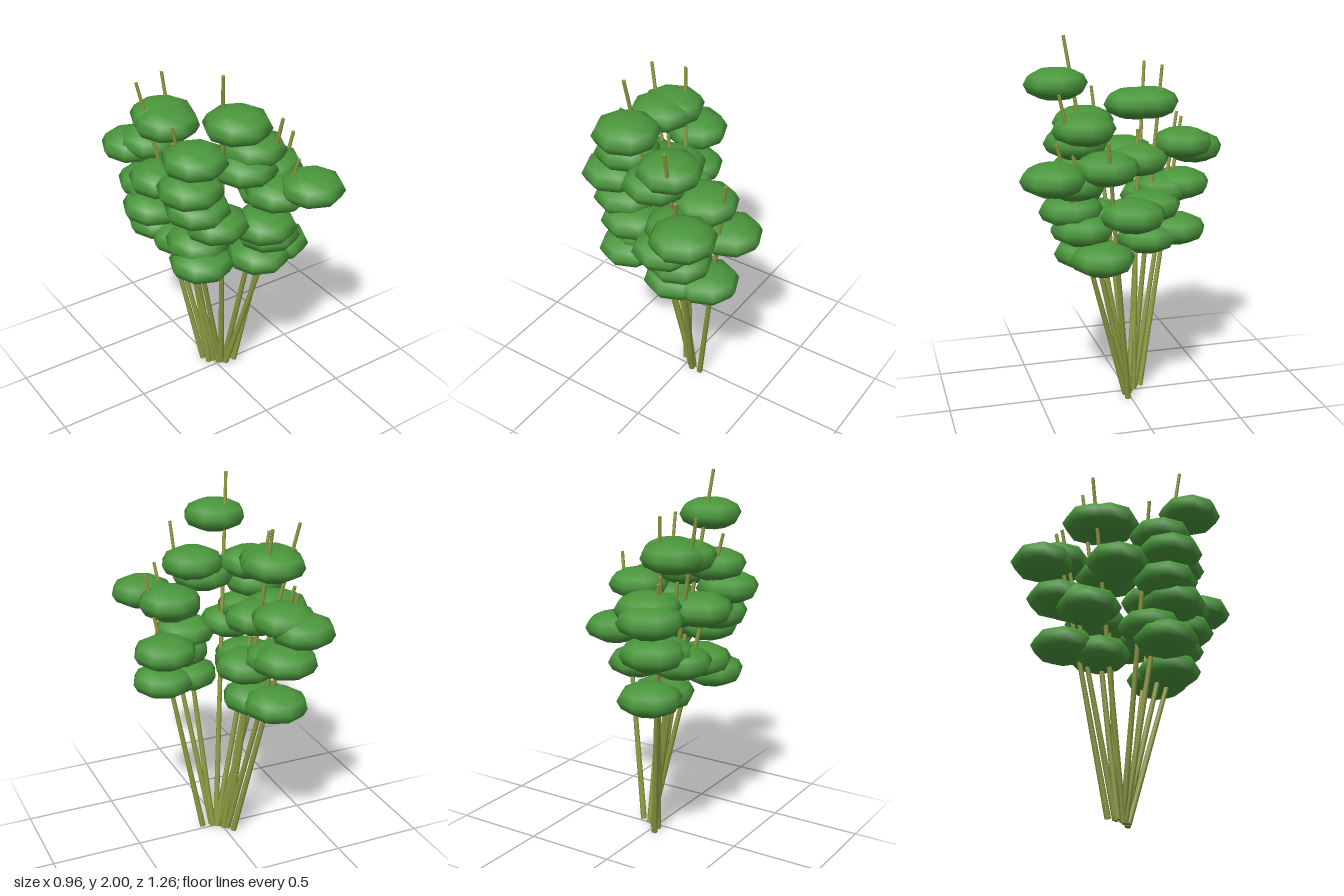
import * as THREE from 'three';

// stem: base x, base z, tip x, tip y, tip z
const STEMS = [
  [0.03, 0.0, -0.163, 2.0, 0.30],
  [0.02, -0.01, -0.355, 1.825, -0.2],
  [-0.03, -0.04, -0.175, 1.825, -0.25],
  [0.05, 0.0, 0.13, 1.735, 0.39],
  [0.03, -0.01, -0.335, 1.7, 0.11],
  [0.105, 0.02, 0.355, 1.52, 0.19],
  [0.05, 0.02, 0.215, 1.5, 0.425],
  [-0.04, -0.09, -0.257, 1.52, -0.39],
  [-0.02, -0.05, -0.25, 1.55, -0.36],
  [0.0, -0.04, -0.2, 1.47, -0.12],
];

// centres of the leaf pads: x, y, z
const PADS = [
  [-0.117, 1.755, 0.355], [-0.235, 1.61, -0.11], [-0.215, 1.615, -0.185],
  [0.06, 1.535, 0.245], [-0.25, 1.52, 0.178], [-0.01, 1.455, 0.27],
  [0.28, 1.335, 0.455], [-0.305, 1.395, 0.22], [-0.305, 1.33, -0.06],
  [0.225, 1.36, 0.165], [0.16, 1.28, 0.32], [-0.25, 1.255, 0.2],
  [-0.25, 1.345, -0.455], [-0.185, 1.385, -0.375], [-0.155, 1.31, -0.11],
  [-0.17, 1.165, 0.25], [0.08, 1.115, 0.325], [0.303, 1.125, 0.047],
  [0.14, 1.025, 0.275], [-0.08, 1.065, -0.158], [-0.27, 1.08, -0.21],
  [-0.205, 1.15, -0.365], [-0.2, 1.13, -0.27], [0.26, 0.89, 0.2],
  [0.1, 0.885, 0.25], [-0.23, 0.925, 0.2], [-0.13, 0.87, -0.15],
  [-0.17, 0.895, -0.335], [-0.2, 1.0, 0.12],
];

export function createModel() {
  const model = new THREE.Group();
  const stemMaterial = new THREE.MeshStandardMaterial({ color: 0x8c9a40 });
  const leafMaterial = new THREE.MeshStandardMaterial({ color: 0x4a963c });

  // thin tapering stems fanning out from a tight clump
  const up = new THREE.Vector3(0, 1, 0);
  const stems = new THREE.Group();
  stems.name = 'stems';
  for (const [bx, bz, tx, ty, tz] of STEMS) {
    const base = new THREE.Vector3(bx, 0.008, bz);
    const tip = new THREE.Vector3(tx, ty, tz);
    const axis = tip.clone().sub(base);
    const stem = new THREE.Mesh(new THREE.CylinderGeometry(0.009, 0.017, axis.length(), 8), stemMaterial);
    stem.name = 'stem';
    stem.position.copy(base).add(tip).multiplyScalar(0.5);
    stem.quaternion.setFromUnitVectors(up, axis.normalize());
    stems.add(stem);
  }

  // flattened eight-sided leaf pads
  const padGeometry = new THREE.SphereGeometry(0.175, 8, 6).scale(1, 0.5, 1);
  const leaves = new THREE.Group();
  leaves.name = 'leaves';
  for (const [x, y, z] of PADS) {
    const pad = new THREE.Mesh(padGeometry, leafMaterial);
    pad.name = 'leafPad';
    pad.position.set(x, y, z);
    leaves.add(pad);
  }

  model.add(stems, leaves);
  return model;
}
